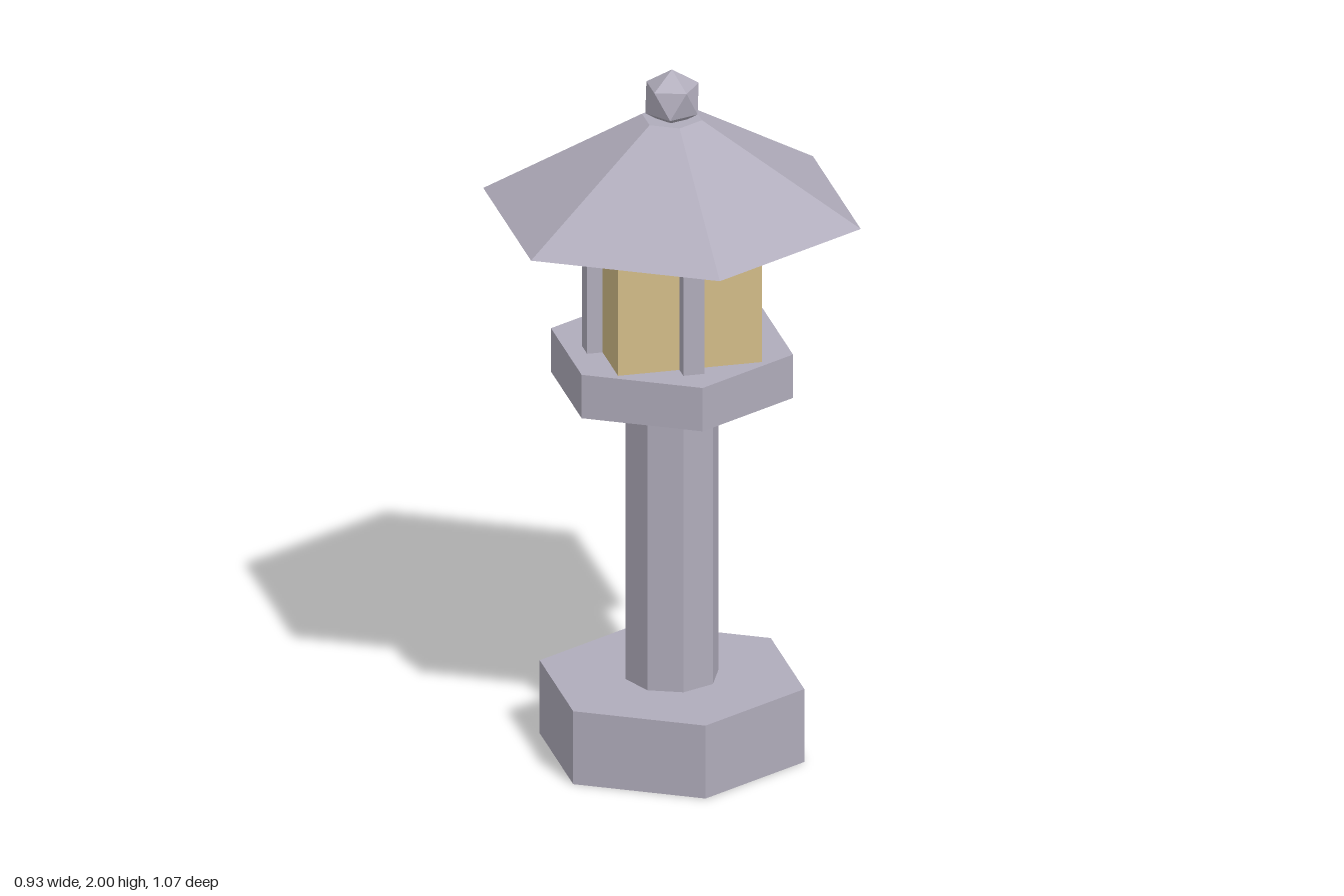
import * as THREE from 'three';

export function createModel() {
  const model = new THREE.Group();
  model.name = 'stoneLantern';

  const stone = new THREE.MeshStandardMaterial({ color: 0xb0acbb });
  stone.name = 'stone';
  const glow = new THREE.MeshStandardMaterial({ color: 0xd2bc88 });
  glow.name = 'paperPane';
  stone.flatShading = glow.flatShading = true;

  function add(name, geometry, material, x, y, z) {
    const mesh = new THREE.Mesh(geometry, material);
    mesh.name = name;
    mesh.position.set(x, y, z);
    model.add(mesh);
    return mesh;
  }

  // Upright prism or frustum between two heights, one corner facing +z
  function prism(name, topRadius, bottomRadius, y0, y1, sides) {
    const geometry = new THREE.CylinderGeometry(topRadius, bottomRadius, y1 - y0, sides);
    return add(name, geometry, stone, 0, (y0 + y1) / 2, 0);
  }

  prism('base', 0.375, 0.375, 0, 0.215, 6);
  prism('column', 0.13, 0.13, 0.215, 1.07, 8);
  prism('platform', 0.343, 0.343, 1.07, 1.198, 6);
  prism('roof', 0.085, 0.535, 1.59, 1.86, 6);

  // Square light chamber with a post in the middle of each side
  const bottom = 1.198, top = 1.59, middle = (bottom + top) / 2;
  add('lightChamber', new THREE.BoxGeometry(0.405, top - bottom, 0.405), glow, 0, middle, 0);
  for (let i = 0; i < 4; i++) {
    const angle = i * Math.PI / 2;
    add('post', new THREE.BoxGeometry(0.06, top - bottom, 0.06), stone,
      Math.sin(angle) * 0.216, middle, Math.cos(angle) * 0.216);
  }

  // Faceted finial, turned so that one corner points straight up
  const finial = add('finial', new THREE.IcosahedronGeometry(0.084, 0), stone, 0, 1.916, 0);
  finial.rotation.z = -Math.atan(2 / (1 + Math.sqrt(5)));

  return model;
}
